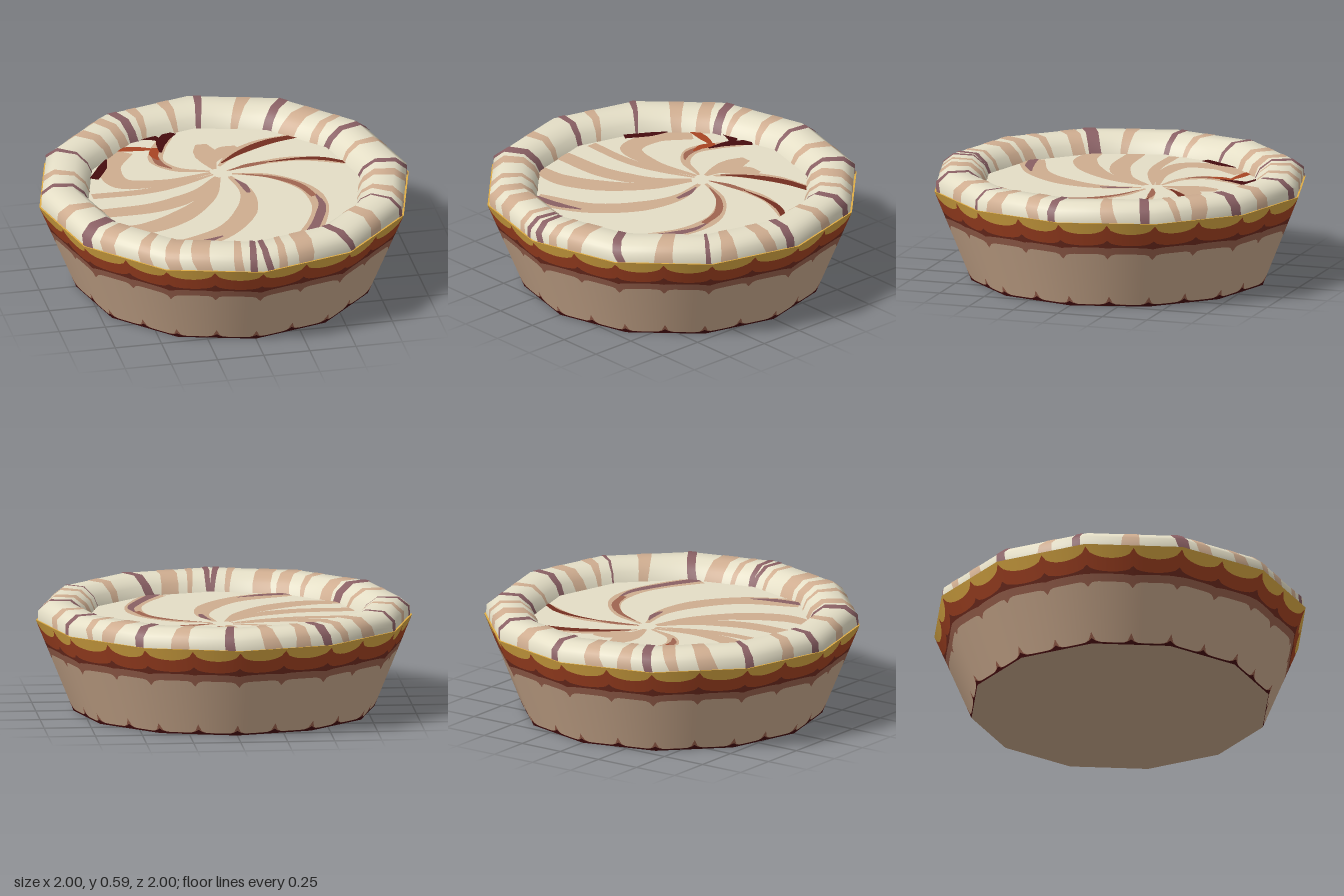
import * as THREE from 'three';

const mat = (name, color) => {
  const m = new THREE.MeshStandardMaterial({ color });
  m.name = name;
  return m;
};

const SIDES = 12, STEP = Math.PI * 2 / SIDES, DEG = Math.PI / 180;
const TOP_Y = 0.49, INNER = 0.735;

// Rim section from outer foot to inner foot: radius, height, normal out, normal up
const RIM = [
  [0.99, 0.49, 1, 0.1], [0.988, 0.54, 0.9, 0.45], [0.93, 0.585, 0.3, 1],
  [0.82, 0.585, -0.3, 1], [0.76, 0.54, -0.75, 0.65], [INNER, TOP_Y, -0.9, 0.45],
];

// Radius of a regular polygon with corner radius r at angle a
const polyR = (a, r) => {
  const k = ((a % STEP) + STEP) % STEP;
  return r * Math.cos(STEP / 2) / Math.cos(k - STEP / 2);
};

// Point on a twelve-sided ring, with a smooth normal
function ringPoint(a, r, y, nr, ny) {
  const R = polyR(a, r), c = Math.cos(a), s = Math.sin(a);
  return {
    p: new THREE.Vector3(R * c, y, R * s),
    n: new THREE.Vector3(nr * c, ny, nr * s).normalize(),
  };
}

// Grid surface from surf(u, v) -> {p, n}; faces are turned to agree with n
function patch(surf, nu, nv) {
  const pos = [], nor = [], idx = [], pts = [];
  for (let i = 0; i <= nu; i++) for (let j = 0; j <= nv; j++) {
    const q = surf(i / nu, j / nv);
    pts.push(q);
    pos.push(...q.p.toArray());
    nor.push(...q.n.toArray());
  }
  const e1 = new THREE.Vector3(), e2 = new THREE.Vector3();
  const tri = (a, b, c) => {
    e1.subVectors(pts[b].p, pts[a].p);
    e2.subVectors(pts[c].p, pts[a].p);
    if (e1.cross(e2).dot(pts[a].n) >= 0) idx.push(a, b, c);
    else idx.push(a, c, b);
  };
  for (let i = 0; i < nu; i++) for (let j = 0; j < nv; j++) {
    const a = i * (nv + 1) + j, b = a + nv + 1;
    tri(a, b, b + 1);
    tri(a, b + 1, a + 1);
  }
  const g = new THREE.BufferGeometry();
  g.setAttribute('position', new THREE.Float32BufferAttribute(pos, 3));
  g.setAttribute('normal', new THREE.Float32BufferAttribute(nor, 3));
  g.setIndex(idx);
  return g;
}

// Point on the rim: v = 0 at the outer foot, 1 at the inner foot
function rimPoint(a, v, lift = 0) {
  const last = RIM.length - 1;
  const i = Math.min(last - 1, Math.floor(v * last + 1e-6)), t = v * last - i;
  const [r, y, nr, ny] = RIM[i].map((q, k) => THREE.MathUtils.lerp(q, RIM[i + 1][k], t));
  return ringPoint(a, r + lift * nr, y + lift * ny, nr, ny);
}

export function createModel() {
  const group = new THREE.Group();
  const M = {
    cream: mat('cream', 0xe4dec6), tan: mat('tan', 0xcfad90),
    mauve: mat('mauve', 0x8a6064), rust: mat('rust', 0xa84423),
    maroon: mat('maroon', 0x450c0e), gold: mat('gold', 0xe0ad45),
    brick: mat('brick', 0x742e20), brown: mat('brown', 0xa06550),
  };
  const add = (name, geo, material) => {
    const m = new THREE.Mesh(geo, material);
    m.name = name;
    group.add(m);
    return m;
  };

  // Flared body, split into scalloped colour bands (c is 1 at each cusp)
  const arc = c => 1 - Math.sqrt(Math.max(0, 1 - c * c));
  const edges = [
    () => TOP_Y,
    c => 0.425 + 0.052 * arc(c),
    c => 0.358 + 0.03 * arc(c),
    c => 0.347 - 0.006 * c ** 4,
    c => 0.308 - 0.03 * c ** 8,
    c => 0.009 + 0.048 * c ** 8,
    c => 0.008 + 0.018 * c ** 5,
    () => 0,
  ];
  const bands = [['goldIcing', M.gold], ['rustIcing', M.rust], ['brickBand', M.brick],
    ['brownBand', M.brown], ['bodyWall', M.tan], ['footSpikes', M.brown], ['footEdge', M.maroon]];
  bands.forEach(([name, material], i) => {
    add(name, patch((u, v) => {
      const c = Math.abs(2 * ((u * 24) % 1) - 1);
      const y = THREE.MathUtils.lerp(edges[i](c), edges[i + 1](c), v);
      return ringPoint(u * Math.PI * 2, 0.8 + 0.2 * y / TOP_Y, y, 1, -0.41);
    }, 24 * 12, 1), material);
  });
  add('bodyLip', patch((u, v) => ringPoint(u * Math.PI * 2, 1 - 0.01 * v, TOP_Y, 0, 1), 12, 1), M.gold);
  add('base', new THREE.CircleGeometry(0.8, SIDES), M.tan).rotation.x = Math.PI / 2;

  // Crust rim and the filling sunk inside it
  add('rim', patch((u, v) => rimPoint(u * Math.PI * 2, v), 48, 20), M.cream);
  const top = add('topDisc', new THREE.CircleGeometry(INNER, SIDES), M.cream);
  top.rotation.x = -Math.PI / 2;
  top.position.y = TOP_Y;

  // Rim stripes: outer angle, inner angle, outer and inner half width in degrees
  const stripe = (name, material, lift) => ([a0, a1, w0, w1]) => {
    add(name, patch((u, v) => {
      const a = THREE.MathUtils.lerp(a0, a1, v) + Math.sin(v * 5) * 0.6;
      const w = THREE.MathUtils.lerp(w0, w1, v);
      return rimPoint((a + (2 * u - 1) * w) * DEG, v, lift);
    }, 8, 20), material);
  };
  [[-101, -98, 3, 1], [-71, -73, 3, 1.5], [-45, -50, 2.5, 4], [-38, -36, 1, 2], [-16, -14, 2.5, 1],
    [9, 12, 2, 3], [24, 22, 3, 1], [45, 42, 3, 2], [75, 72, 2.5, 4],
    [83, 81, 1.5, 1], [97, 97, 1.5, 1], [108, 112, 2.5, 4], [117, 121, 2, 3], [127, 131, 2.5, 1],
    [141, 144, 2.5, 3], [166, 163, 3, 1.5], [194, 190, 2.5, 1], [222, 225, 3, 2], [233, 236, 1.5, 3],
    [249, 247, 2.5, 1]].forEach(stripe('tanRimStripe', M.tan, 0.002));
  [[-87, -88, 1.6, 1], [-58, -59, 1.5, 2], [-27, -29, 1.4, 1.8], [2.5, 1, 1.3, 1.6], [31, 29, 0.8, 0.4],
    [58, 63, 1.2, 2], [87.3, 89.3, 1.1, 1], [92.7, 90.7, 1.1, 1], [149, 151, 2, 2.6],
    [183, 181, 1.3, 1.2], [209, 208, 1.6, 0.6], [241, 242, 1.3, 2]]
    .forEach(stripe('mauveRimStripe', M.mauve, 0.004));

  // Swirl arms: centre line as x, z pairs, widened by w and tapered at the start and end
  const arm = (name, material, lift, w, end, pts) => {
    const curve = new THREE.CatmullRomCurve3(pts.map(([x, z]) => new THREE.Vector3(x, TOP_Y + lift, z)));
    const up = new THREE.Vector3(0, 1, 0);
    add(name, patch((u, v) => {
      const t = curve.getTangent(u);
      const grow = Math.min(1, 0.2 + u * 1.6);
      const fade = u > 0.7 ? THREE.MathUtils.lerp(1, end, (u - 0.7) / 0.3) : 1;
      const d = w * grow * fade * (v - 0.5);
      return { p: curve.getPoint(u).add(new THREE.Vector3(-t.z * d, 0, t.x * d)), n: up };
    }, 28, 1), material);
  };
  const tanArm = (...a) => arm('tanSwirl', M.tan, 0.002, ...a);
  tanArm(0.12, 0.5, [[0.0, -0.24], [-0.01, -0.34], [-0.01, -0.45], [-0.01, -0.54]]);
  tanArm(0.1, 0.4, [[0.0, -0.3], [0.04, -0.38], [0.1, -0.44], [0.17, -0.47]]);
  tanArm(0.08, 0.5, [[0.03, -0.27], [0.12, -0.38], [0.28, -0.48], [0.5, -0.54]]);
  tanArm(0.05, 0.6, [[0.06, -0.21], [0.25, -0.26], [0.46, -0.27], [0.7, -0.17]]);
  tanArm(0.09, 1.3, [[0.08, -0.17], [0.27, -0.1], [0.43, 0.08], [0.46, 0.28], [0.4, 0.48], [0.3, 0.66]]);
  tanArm(0.12, 1.2, [[0.06, -0.14], [0.11, 0.06], [0.06, 0.28], [-0.1, 0.49], [-0.38, 0.63]]);
  tanArm(0.13, 0.6, [[0, -0.14], [-0.09, 0.06], [-0.28, 0.26], [-0.48, 0.36], [-0.65, 0.36]]);
  tanArm(0.11, 0.9, [[-0.01, -0.15], [-0.15, 0.02], [-0.38, 0.13], [-0.7, 0.15]]);
  tanArm(0.06, 1, [[-0.02, -0.18], [-0.2, -0.11], [-0.42, -0.06], [-0.7, -0.06]]);
  tanArm(0.12, 0.7, [[-0.03, -0.2], [-0.3, -0.14], [-0.52, -0.18], [-0.54, -0.36], [-0.42, -0.53]]);
  tanArm(0.08, 0.8, [[-0.03, -0.22], [-0.2, -0.28], [-0.28, -0.4], [-0.24, -0.54], [-0.17, -0.66]]);

  // Darker sauce streaks over the arms
  arm('brickStreak', M.brick, 0.004, 0.055, 0.7, [[0.05, -0.3], [0.17, -0.4], [0.34, -0.49], [0.52, -0.53]]);
  arm('brickStreak', M.brick, 0.004, 0.036, 0.7, [[0.28, -0.26], [0.46, -0.265], [0.58, -0.24], [0.7, -0.17]]);
  arm('brownStreak', M.brown, 0.004, 0.036, 0.7, [[0.07, -0.205], [0.17, -0.24], [0.28, -0.26]]);
  arm('brownStreak', M.brown, 0.004, 0.04, 0.9, [[0.13, -0.15], [0.28, -0.08], [0.4, 0.04], [0.45, 0.18]]);
  arm('brownStreak', M.brown, 0.004, 0.04, 0.9, [[-0.22, -0.29], [-0.27, -0.36], [-0.28, -0.46]]);
  arm('mauveStreak', M.mauve, 0.004, 0.05, 1.3, [[0.46, 0.16], [0.47, 0.28], [0.41, 0.46], [0.31, 0.66]]);
  arm('mauveStreak', M.mauve, 0.004, 0.035, 0.6, [[0.08, -0.1], [0.11, -0.02], [0.12, 0.07]]);
  arm('mauveStreak', M.mauve, 0.004, 0.05, 1, [[-0.12, 0.54], [-0.24, 0.59], [-0.4, 0.62]]);
  arm('rustStreak', M.rust, 0.005, 0.05, 1, [[-0.27, -0.4], [-0.28, -0.47], [-0.25, -0.54]]);
  arm('rustStreak', M.rust, 0.005, 0.05, 0.8, [[-0.24, -0.52], [-0.35, -0.55], [-0.47, -0.57]]);
  arm('maroonStreak', M.maroon, 0.007, 0.06, 1.1, [[-0.24, -0.48], [-0.21, -0.6], [-0.14, -0.7]]);
  arm('maroonStreak', M.maroon, 0.007, 0.06, 0.8, [[-0.2, -0.6], [-0.25, -0.66], [-0.32, -0.68]]);
  arm('maroonStreak', M.maroon, 0.007, 0.05, 1, [[-0.54, -0.46], [-0.58, -0.37], [-0.65, -0.25]]);
  return group;
}
